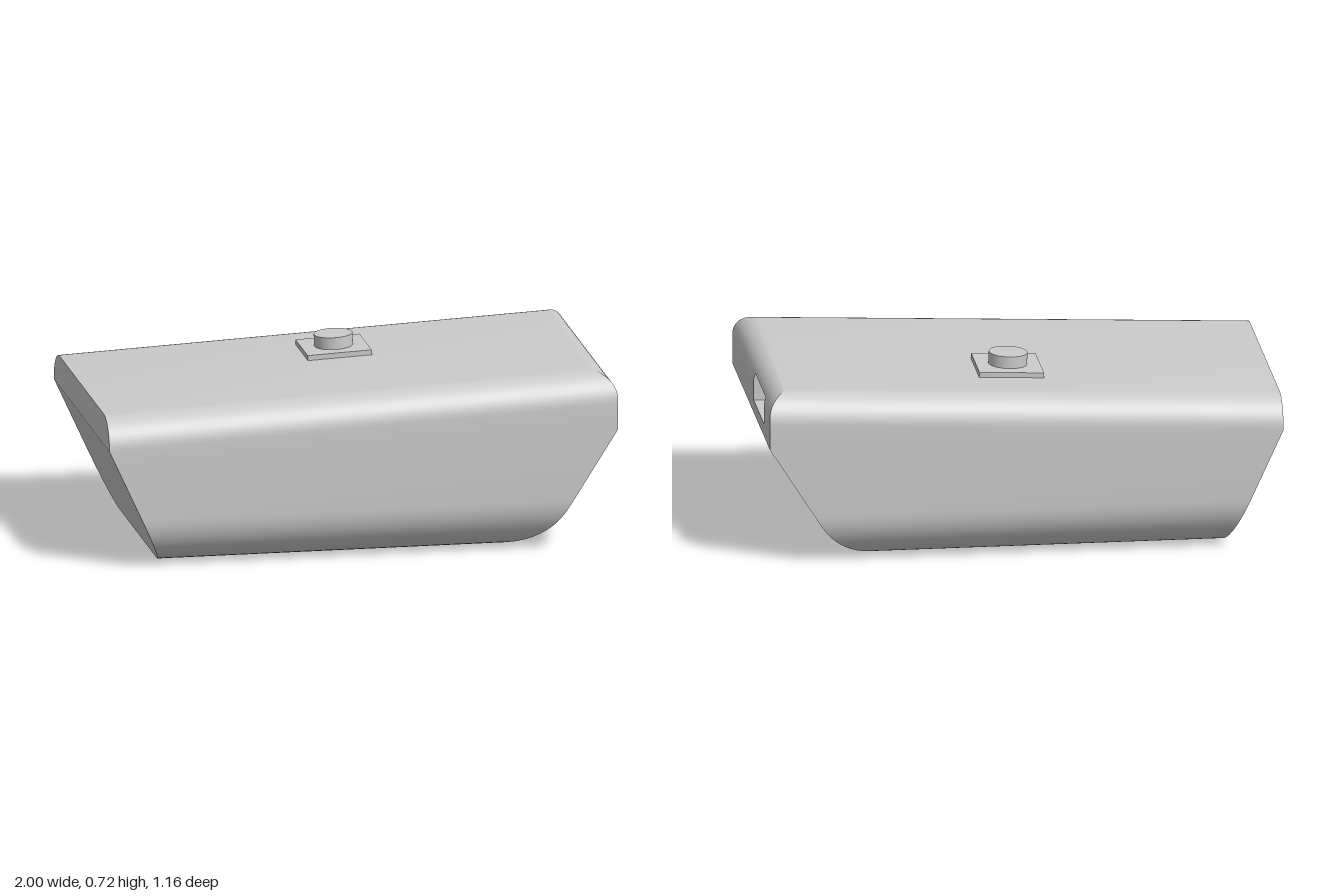
import * as THREE from 'three';
import { toCreasedNormals } from 'three/addons/utils/BufferGeometryUtils.js';

const SLOPE = 0.0463;                         // rise of the lid towards +x
const HALF = 0.58, R_TOP = 0.12, R_BOT = 0.2; // half width, long edge radii
const NOSE_R = 0.09, KEEL_R = 0.326;          // end radii of the side profile
const top = (x) => 0.6 + SLOPE * (x + 1);
const NOSE_Y = top(0.91) - NOSE_R * 1.001;

// Ends of the side profile at height y
const leftX = (y) => (y < 0.48 ? -0.78 - 0.22 * y / 0.48 : -1);
function rightX(y) {
  if (y < 0.159) return 0.52 + Math.sqrt(Math.max(0, 2 * KEEL_R * y - y * y));
  if (y < 0.475) return 0.8 + 0.2 * (y - 0.159) / 0.316;
  if (y < NOSE_Y) return 1;
  return 0.91 + Math.sqrt(Math.max(0, NOSE_R ** 2 - (y - NOSE_Y) ** 2));
}

// A lengthwise line of the hull, trimmed to the side profile
function makeRow(z, y) {
  let xl = -1, a = 0, b = 1.1;
  for (let i = 0; i < 8; i++) xl = leftX(y(xl));
  for (let i = 0; i < 40; i++) {
    const m = (a + b) / 2;
    if (m <= rightX(y(m))) a = m; else b = m;
  }
  return { z, y, xl, xr: a };
}

function hullGeometry() {
  const rows = [], N = 12;
  for (let i = 0; i <= N; i++) {              // rounded bottom edge
    const t = (i / N) * Math.PI / 2;
    rows.push(makeRow(HALF - R_BOT + R_BOT * Math.sin(t), () => R_BOT * (1 - Math.cos(t))));
  }
  for (const y1 of [0.475, 0.525]) rows.push(makeRow(HALF, (x) => y1 + SLOPE * (x - 1)));
  const slotStart = rows.length - 1;
  for (let i = 0; i <= N; i++) {              // rounded top edge
    const t = (i / N) * Math.PI / 2;
    rows.push(makeRow(HALF - R_TOP + R_TOP * Math.cos(t), (x) => top(x) - R_TOP + R_TOP * Math.sin(t)));
  }
  const slotEnd = slotStart + 5;

  const pos = [];
  const quad = (a, b, c, d) => [a, b, c, a, c, d].forEach((p) => pos.push(...p));
  const L = (r, z) => [r.xl, r.y(r.xl), z];
  const R = (r, z) => [r.xr, r.y(r.xr), z];
  const D = (r, z) => [-0.58, r.y(-0.58), z]; // inner end of the slot
  const za = -0.075, zb = -0.395;

  for (let i = 0; i < rows.length - 1; i++) {
    const p = rows[i], q = rows[i + 1];
    quad(L(p, p.z), R(p, p.z), R(q, q.z), L(q, q.z));
    quad(R(p, -p.z), L(p, -p.z), L(q, -q.z), R(q, -q.z));
    quad(L(p, -p.z), L(p, p.z), L(q, q.z), L(q, -q.z));
    if (i >= slotStart && i < slotEnd) {      // end face either side of the slot, and slot side walls
      quad(R(p, p.z), R(p, za), R(q, za), R(q, q.z));
      quad(R(p, zb), R(p, -p.z), R(q, -q.z), R(q, zb));
      quad(D(p, zb), R(p, zb), R(q, zb), D(q, zb));
      quad(R(p, za), D(p, za), D(q, za), R(q, za));
    } else {
      quad(R(p, p.z), R(p, -p.z), R(q, -q.z), R(q, q.z));
    }
  }
  // Underside and lid
  const b = rows[0], t = rows[rows.length - 1];
  quad(L(b, -b.z), R(b, -b.z), R(b, b.z), L(b, b.z));
  quad(L(t, t.z), R(t, t.z), R(t, -t.z), L(t, -t.z));
  // Slot floor, ceiling and back wall
  const s = rows[slotStart], e = rows[slotEnd];
  quad(D(s, za), R(s, za), R(s, zb), D(s, zb));
  quad(D(e, zb), R(e, zb), R(e, za), D(e, za));
  quad(D(s, za), D(s, zb), D(e, zb), D(e, za));

  const g = new THREE.BufferGeometry();
  g.setAttribute('position', new THREE.Float32BufferAttribute(pos, 3));
  return toCreasedNormals(g, 0.4);
}

export function createModel() {
  const model = new THREE.Group();
  const material = new THREE.MeshStandardMaterial({ color: 0xcccccc });
  const add = (parent, name, geometry, y = 0) => {
    const mesh = new THREE.Mesh(geometry, material);
    mesh.name = name;
    mesh.position.y = y;
    parent.add(mesh);
  };

  add(model, 'slottedHull', hullGeometry());

  // Push button on its plate, lying on the sloped lid
  const button = new THREE.Group();
  button.name = 'pushButton';
  button.position.set(0.025, top(0.025), -0.178);
  button.rotation.z = Math.atan(SLOPE);
  add(button, 'buttonPlate', new THREE.BoxGeometry(0.252, 0.03, 0.255), 0.005);
  add(button, 'buttonCap', new THREE.CylinderGeometry(0.075, 0.075, 0.06, 48), 0.037);
  model.add(button);
  return model;
}
